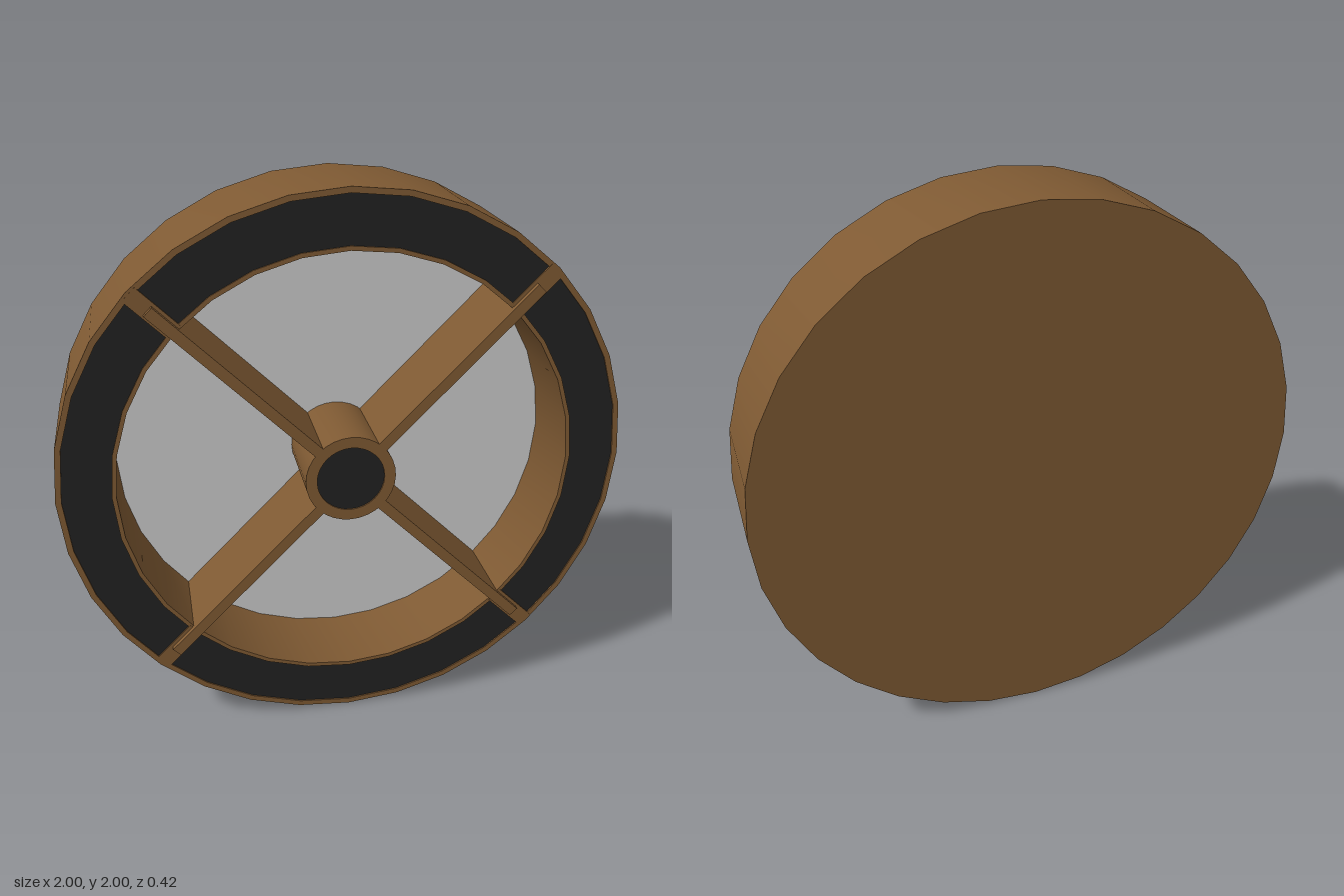
import * as THREE from 'three';
import { toCreasedNormals } from 'three/addons/utils/BufferGeometryUtils.js';

const SEGMENTS = 32;
const FRONT = 0.19;   // front of the rim
const RAISED = 0.21;  // front of the hub and spokes
const FLOOR = -0.11;  // inner floor
const BACK = -0.21;
const CENTRE_Y = 1;

const wood = new THREE.MeshStandardMaterial({ color: 0x7f5a33 });
const dark = new THREE.MeshStandardMaterial({ color: 0x222222 });
const grey = new THREE.MeshStandardMaterial({ color: 0xcccccc });

export function createModel() {
  const model = new THREE.Group();
  const wheel = new THREE.Group();
  wheel.name = 'wheel';
  wheel.position.y = CENTRE_Y;
  model.add(wheel);

  const add = (name, geometry, material, z = 0, parent = wheel) => {
    const mesh = new THREE.Mesh(geometry, material);
    mesh.name = name;
    mesh.position.z = z;
    parent.add(mesh);
    return mesh;
  };

  // Revolves [radius, z] pairs about the z axis with sharp profile corners
  const turned = (profile) => {
    const points = profile.map(([r, z]) => new THREE.Vector2(r, z));
    const geometry = new THREE.LatheGeometry(points, SEGMENTS).rotateX(Math.PI / 2);
    return toCreasedNormals(geometry, 0.6);
  };

  // Body: closed back, outer wall, shallow groove in the rim and inner wall
  add('body', turned([
    [0, BACK], [1, BACK], [1, FRONT], [0.98, FRONT], [0.98, FRONT - 0.01],
    [0.815, FRONT - 0.01], [0.815, FRONT], [0.8, FRONT], [0.8, FLOOR], [0, FLOOR],
  ]), wood);

  // Dark inlay in the rim
  add('rimInlay', new THREE.RingGeometry(0.815, 0.98, SEGMENTS), dark, FRONT - 0.005);

  // Inner floor panel
  add('floorPanel', new THREE.CircleGeometry(0.8, SEGMENTS), grey, FLOOR + 0.005);

  // Hub with a dark cap
  add('hub', turned([
    [0.16, FLOOR], [0.16, RAISED], [0.12, RAISED], [0.12, RAISED - 0.01], [0, RAISED - 0.01],
  ]), wood);
  add('hubCap', new THREE.CircleGeometry(0.12, SEGMENTS), dark, RAISED - 0.005);

  // Four diagonal spokes, each with a wider divider across the rim inlay
  const spokeStart = 0.15, spokeEnd = 0.913;
  const dividerStart = 0.805, dividerEnd = 0.99;
  for (let i = 0; i < 4; i++) {
    const arm = new THREE.Group();
    arm.name = `spokeArm${i + 1}`;
    arm.rotation.z = Math.PI / 4 + (i * Math.PI) / 2;
    wheel.add(arm);

    const spoke = add('spoke',
      new THREE.BoxGeometry(spokeEnd - spokeStart, 0.038, RAISED - FLOOR),
      wood, (RAISED + FLOOR) / 2, arm);
    spoke.position.x = (spokeStart + spokeEnd) / 2;

    const divider = add('rimDivider',
      new THREE.BoxGeometry(dividerEnd - dividerStart, 0.06, 0.04),
      wood, FRONT - 0.019, arm);
    divider.position.x = (dividerStart + dividerEnd) / 2;
  }

  return model;
}
